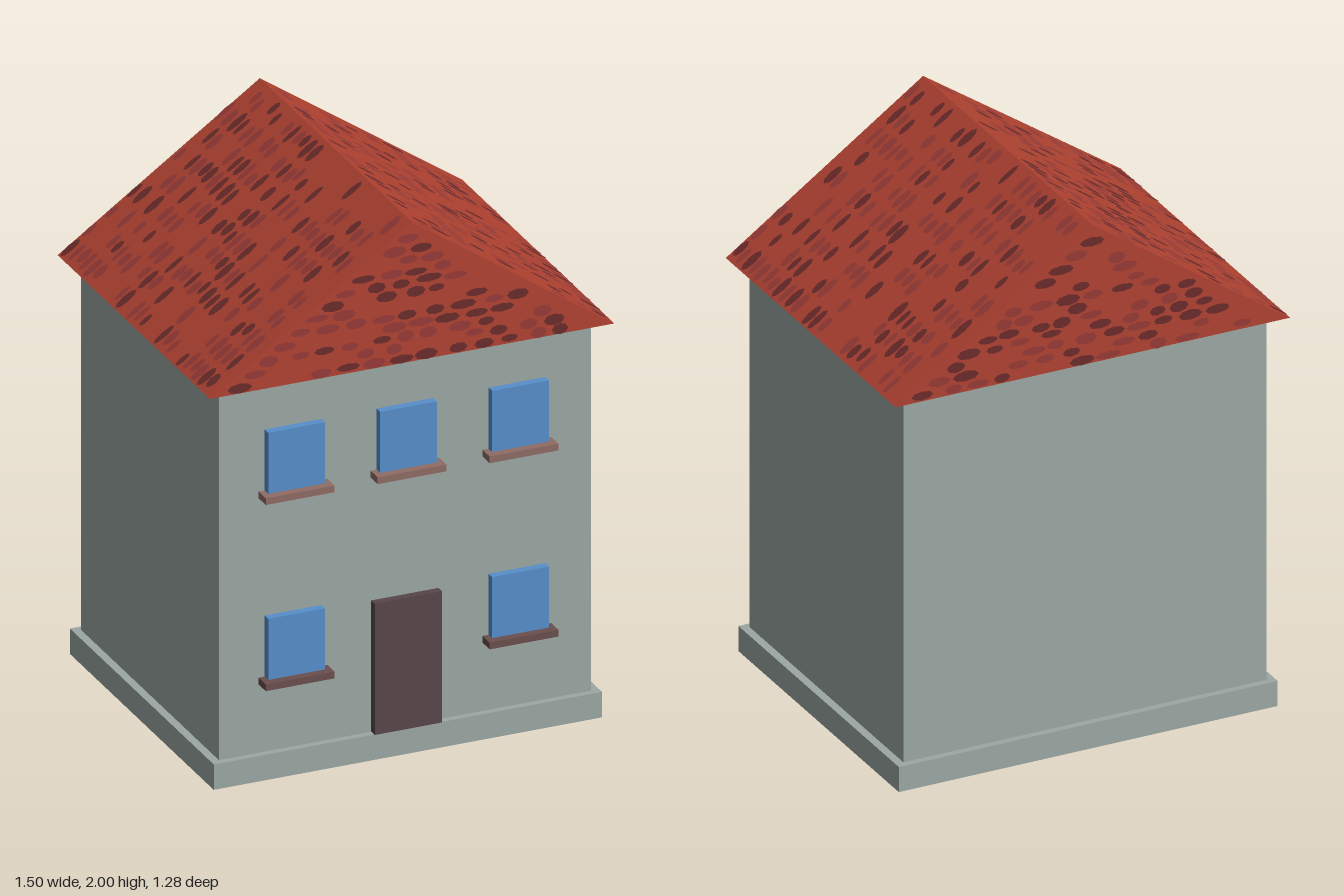
import * as THREE from 'three';
import { mergeGeometries } from 'three/addons/utils/BufferGeometryUtils.js';

const mat = (name, color) => {
  const m = new THREE.MeshStandardMaterial({ color });
  m.name = name;
  return m;
};

// Repeatable random numbers for the tile mottling
function seeded(seed) {
  return () => {
    seed = (seed * 16807) % 2147483647;
    return seed / 2147483647;
  };
}

export function createModel() {
  const house = new THREE.Group();
  house.name = 'house';

  const wall = mat('greyPlaster', 0x9ca8a4);
  const glass = mat('blueGlass', 0x588fcb);
  const wood = mat('darkWood', 0x58464a);
  const upperStone = mat('brownStone', 0x906c66);
  const lowerStone = mat('darkBrownStone', 0x6a4e4c);
  const tile = mat('redTile', 0xb04231);
  const tileMid = mat('deepRedTile', 0x973a36);
  const tileDark = mat('darkRedTile', 0x6c2b2b);

  // Box given by its centre x, width, bottom, top, back and front
  function block(name, material, x, w, y0, y1, z0, z1) {
    const mesh = new THREE.Mesh(new THREE.BoxGeometry(w, y1 - y0, z1 - z0), material);
    mesh.position.set(x, (y0 + y1) / 2, (z0 + z1) / 2);
    mesh.name = name;
    house.add(mesh);
  }

  // Body
  block('plinth', wall, 0, 1.44, 0, 0.095, -0.6, 0.6);
  block('walls', wall, 0, 1.38, 0.095, 1.48, -0.575, 0.575);
  block('door', wood, 0, 0.25, 0.095, 0.585, 0.57, 0.605);

  // Windows with sills: three upstairs, two beside the door
  const floors = [
    { sill: 1.045, xs: [-0.415, 0, 0.415], stone: upperStone },
    { sill: 0.35, xs: [-0.415, 0.415], stone: lowerStone },
  ];
  for (const { sill, xs, stone } of floors) {
    for (const x of xs) {
      block('window', glass, x, 0.21, sill + 0.025, sill + 0.253, 0.57, 0.605);
      block('windowSill', stone, x, 0.255, sill, sill + 0.025, 0.57, 0.635);
    }
  }

  // Roof prism
  const halfW = 0.75, rise = 0.52, eave = 1.48, depth = 1.27;
  const gable = new THREE.Shape([
    new THREE.Vector2(-halfW, 0), new THREE.Vector2(halfW, 0), new THREE.Vector2(0, rise),
  ]);
  const roofGeo = new THREE.ExtrudeGeometry(gable, { depth, bevelEnabled: false });
  const roof = new THREE.Mesh(roofGeo, tile);
  roof.position.set(0, eave, -depth / 2);
  roof.name = 'roof';
  house.add(roof);

  // Flat mottled tiles; halfWidth(y) limits each course, stretch sets the grain
  function mottling(height, halfWidth, vertical, seed) {
    const rand = seeded(seed);
    const sets = { dark: [], mid: [] };
    const stepX = vertical ? 0.0454 : 0.1, stepY = vertical ? 0.1 : 0.04;
    for (let y = stepY / 2; y < height - stepY / 2; y += stepY) {
      const limit = halfWidth(y + stepY / 2);
      for (let x = -limit + stepX / 2; x < limit - stepX / 2; x += stepX) {
        const pick = rand();
        const len = 0.06 + 0.04 * rand();
        const thick = 0.026 + 0.017 * rand();
        const w = vertical ? thick : len, h = vertical ? len : thick;
        const dx = (stepX - w) * (rand() - 0.5), dy = (stepY - h) * (rand() - 0.5);
        if (pick > 0.66) continue;
        const g = new THREE.CircleGeometry(0.5, 8);
        g.scale(w, h, 1);
        g.translate(x + dx, y + dy, 0);
        (pick < 0.33 ? sets.dark : sets.mid).push(g);
      }
    }
    const group = new THREE.Group();
    for (const [key, material] of [['dark', tileDark], ['mid', tileMid]]) {
      const mesh = new THREE.Mesh(mergeGeometries(sets[key]), material);
      mesh.name = key + 'Tiles';
      group.add(mesh);
    }
    return group;
  }

  // One slope and one gable end, repeated by half a turn
  for (let i = 0; i < 2; i++) {
    const side = new THREE.Group();
    side.name = i ? 'leftAndBackRoofTiles' : 'rightAndFrontRoofTiles';

    const slopeLen = Math.hypot(halfW, rise);
    const up = new THREE.Vector3(-halfW, rise, 0).divideScalar(slopeLen);
    const out = new THREE.Vector3(rise, halfW, 0).divideScalar(slopeLen);
    const along = new THREE.Vector3().crossVectors(up, out);
    const slope = mottling(slopeLen, () => depth / 2, true, 71 + i * 900);
    slope.name = 'slopeTiles';
    slope.quaternion.setFromRotationMatrix(new THREE.Matrix4().makeBasis(along, up, out));
    slope.position.set(halfW, eave, 0).addScaledVector(out, 0.003);

    const end = mottling(rise, (y) => halfW * (1 - y / rise), false, 333 + i * 500);
    end.name = 'gableTiles';
    end.position.set(0, eave, depth / 2 + 0.003);

    side.add(slope, end);
    side.rotation.y = i * Math.PI;
    house.add(side);
  }

  return house;
}
